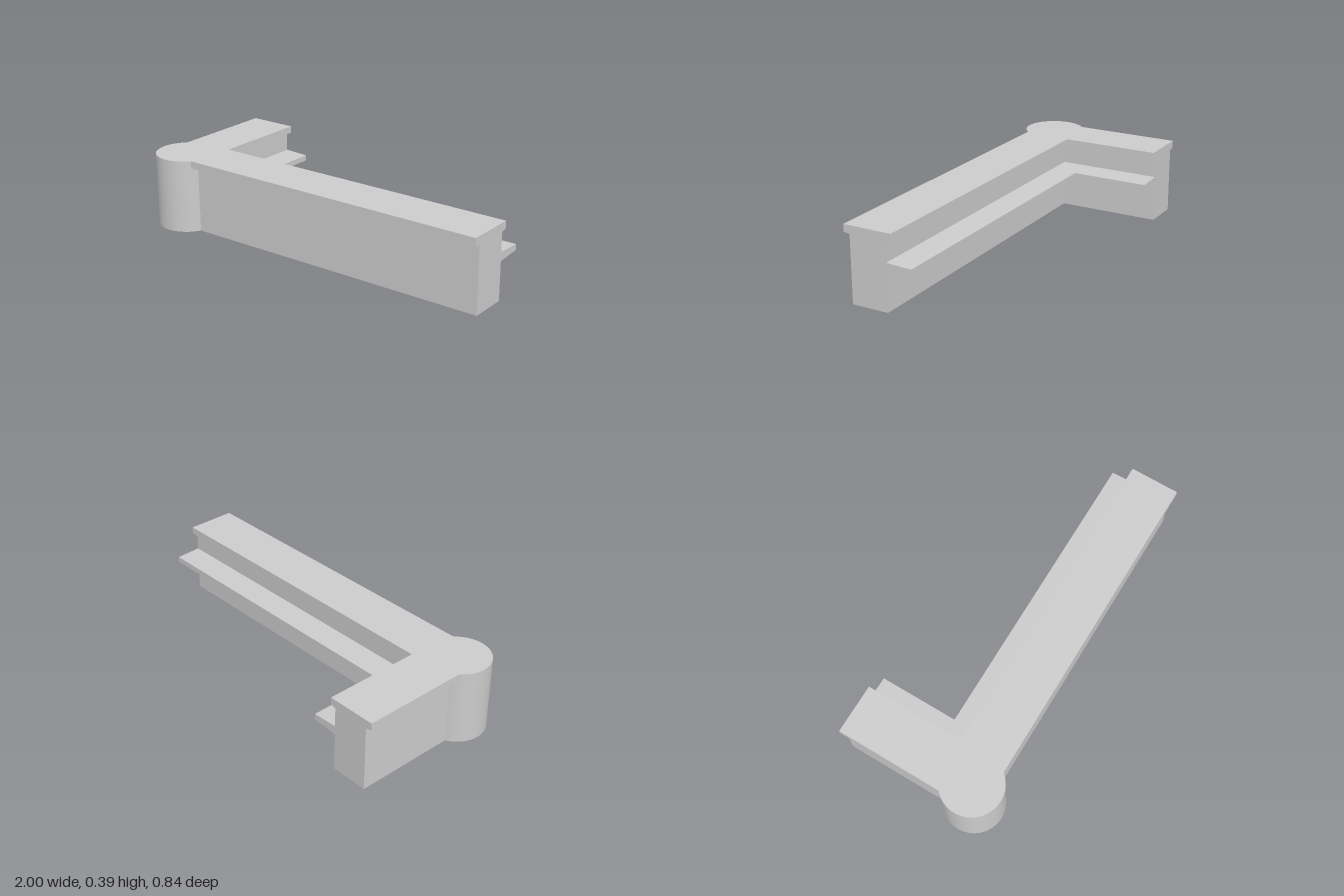
import * as THREE from 'three';

const material = new THREE.MeshStandardMaterial({ color: 0xcccccc });

// Wall cross-section, counter-clockwise: [distance towards the outside, height]
const PROFILE = [
  [0.13, 0], [0.327, 0], [0.327, 0.346], [0.36, 0.352], [0.36, 0.39],
  [0.1, 0.39], [0.1, 0.352], [0.13, 0.346], [0.13, 0.246],
  [-0.005, 0.24], [-0.005, 0.21], [0.13, 0.2],
].map(([d, y]) => new THREE.Vector2(d, y));

// Sweeps the profile along the front wing, round the mitred corner and down the back wing
function mitredWall() {
  const cornerX = (d) => -0.588 - d;
  const stations = [
    (p) => [1, p.y, p.x],
    (p) => [cornerX(p.x), p.y, p.x],
    (p) => [cornerX(p.x), p.y, -0.42],
  ];
  const positions = [];
  const n = PROFILE.length;
  for (let s = 0; s < 2; s++) {
    for (let i = 0; i < n; i++) {
      const a = PROFILE[i], b = PROFILE[(i + 1) % n];
      const a0 = stations[s](a), b0 = stations[s](b);
      const a1 = stations[s + 1](a), b1 = stations[s + 1](b);
      positions.push(...a0, ...b0, ...b1, ...a0, ...b1, ...a1);
    }
  }
  // Close both ends
  for (const [i, j, k] of THREE.ShapeUtils.triangulateShape(PROFILE, [])) {
    for (const v of [k, j, i]) positions.push(...stations[0](PROFILE[v]));
    for (const v of [i, j, k]) positions.push(...stations[2](PROFILE[v]));
  }
  const geometry = new THREE.BufferGeometry();
  geometry.setAttribute('position', new THREE.Float32BufferAttribute(positions, 3));
  geometry.computeVertexNormals();
  return geometry;
}

export function createModel() {
  const group = new THREE.Group();
  group.name = 'cornerWall';

  // L-shaped parapet with coping and inner ledge
  const wall = new THREE.Mesh(mitredWall(), material);
  wall.name = 'wall';
  group.add(wall);

  // Round pillar at the outer corner
  const pillar = new THREE.Mesh(new THREE.CylinderGeometry(0.16, 0.16, 0.39, 64), material);
  pillar.name = 'cornerPillar';
  pillar.position.set(-0.84, 0.195, 0.26);
  group.add(pillar);

  return group;
}
